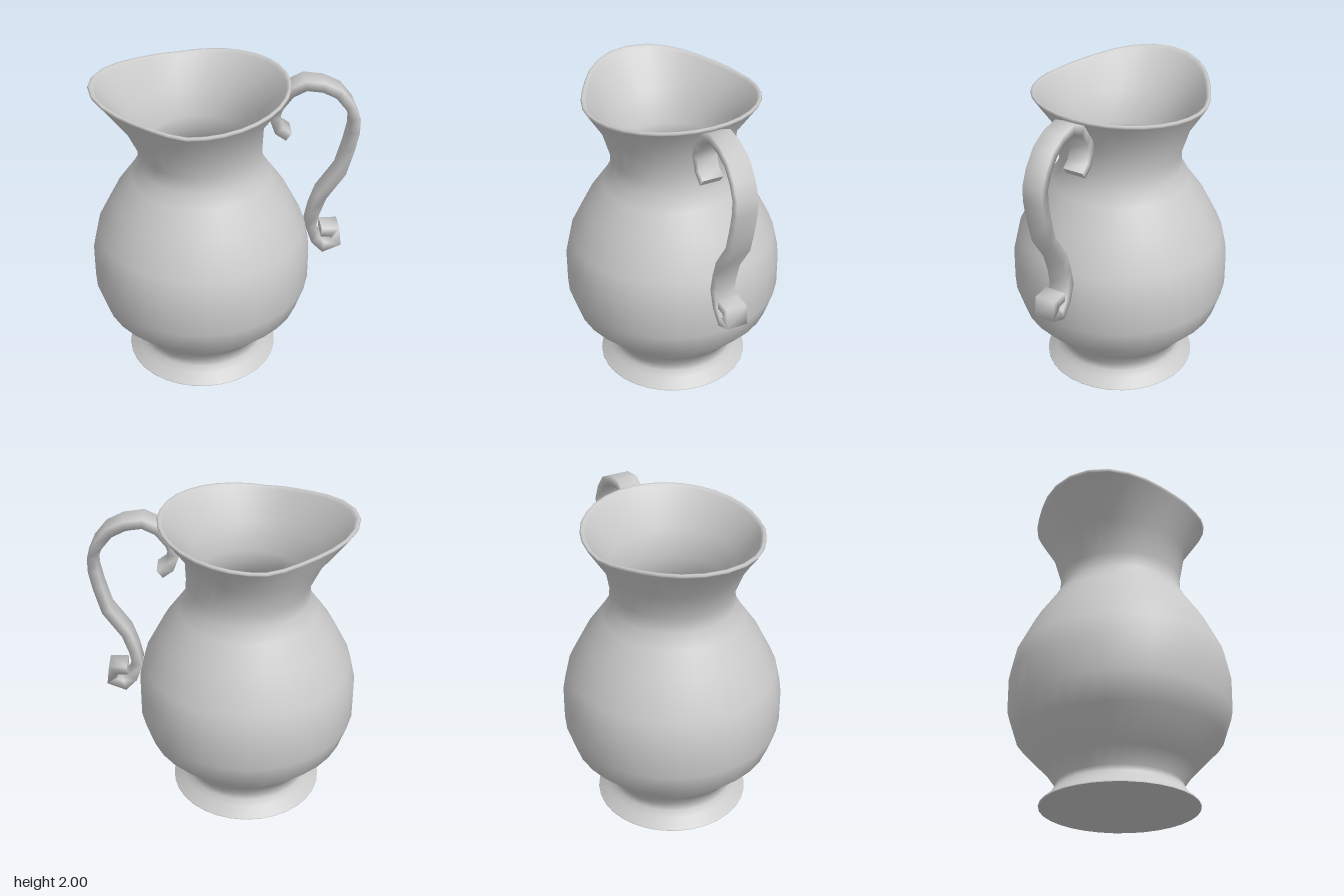
import * as THREE from 'three';

const SIDES = 32;
const AXIS_X = -0.145;
const material = new THREE.MeshStandardMaterial({ color: 0xcccccc, roughness: 0.7 });

// Smooth skin over closed rings (each counter-clockwise about the direction of travel), with flat end caps
function loft(rings) {
  const n = rings[0].length;
  const points = rings.flat();
  const index = [];
  for (let i = 0; i < rings.length - 1; i++) {
    for (let j = 0; j < n; j++) {
      const k = (j + 1) % n;
      const a = i * n + j, b = i * n + k, c = b + n, d = a + n;
      index.push(a, b, c, a, c, d);
    }
  }
  const addCap = (ring, flip) => {
    const centre = ring.reduce((s, p) => s.add(p), new THREE.Vector3()).divideScalar(n);
    const base = points.length;
    points.push(...ring, centre);
    for (let j = 0; j < n; j++) {
      const k = (j + 1) % n;
      index.push(base + n, base + (flip ? k : j), base + (flip ? j : k));
    }
  };
  addCap(rings[0], true);
  addCap(rings[rings.length - 1], false);
  const geometry = new THREE.BufferGeometry().setFromPoints(points);
  geometry.setIndex(index);
  geometry.computeVertexNormals();
  return geometry;
}

// One ring of the jug: spout pushes the -x side out, tilt lifts front and back of the lip
function jugRing([r, y, spout = 0, tilt = 0, shift = 0]) {
  const ring = [];
  for (let j = 0; j < SIDES; j++) {
    const a = (j / SIDES) * Math.PI * 2;
    const t = Math.abs(a - Math.PI);
    const bump = t < Math.PI / 3 ? Math.cos(1.5 * t) ** 2 : 0;
    const rad = r + spout * bump;
    const x = AXIS_X + shift + rad * Math.cos(a);
    const dx = x + 0.25;
    const lift = (dx < 0 ? 0.14 : 0.1) * Math.abs(dx) ** 1.2;
    ring.push(new THREE.Vector3(x, y + tilt * lift, -rad * Math.sin(a)));
  }
  return ring;
}

function createJug() {
  // radius, height, spout, tilt, sideways shift
  const outside = [
    [0.49, 0], [0.49, 0.008], [0.43, 0.06], [0.405, 0.1], [0.39, 0.14], [0.46, 0.24],
    [0.64, 0.43], [0.695, 0.6], [0.695, 0.82], [0.66, 0.98], [0.55, 1.2],
    [0.44, 1.36], [0.39, 1.45], [0.385, 1.55],
    [0.428, 1.72, 0.01, 0.45, -0.035],
  ];
  const lip = [
    [0.545, 1.9, 0.115, 1], [0.552, 1.912, 0.115, 1],
    [0.545, 1.923, 0.113, 1], [0.53, 1.921, 0.11, 1], [0.522, 1.908, 0.108, 1],
  ];
  const inside = [
    [0.398, 1.73, 0.01, 0.45, -0.035],
    [0.355, 1.55], [0.36, 1.45], [0.41, 1.35], [0.52, 1.19], [0.63, 0.97],
    [0.66, 0.82], [0.66, 0.6], [0.61, 0.45], [0.43, 0.26], [0.36, 0.19],
  ];
  return new THREE.Mesh(loft([...outside, ...lip, ...inside].map(jugRing)), material);
}

function createHandle() {
  const path = [
    [0.395, 1.62], [0.335, 1.665], [0.305, 1.75], [0.325, 1.825], [0.395, 1.92],
    [0.49, 1.967], [0.6, 1.95], [0.695, 1.9], [0.765, 1.81], [0.803, 1.72],
    [0.803, 1.63], [0.78, 1.51], [0.735, 1.34], [0.62, 1.167], [0.58, 1.045],
    [0.558, 0.933], [0.593, 0.832], [0.648, 0.772], [0.727, 0.806],
    [0.717, 0.888], [0.627, 0.89],
  ].map(([x, y]) => new THREE.Vector2(x, y));
  const half = 0.03, depth = 0.067;

  // Mitred rectangular section at every bend
  const rings = path.map((p, i) => {
    const before = p.clone().sub(path[Math.max(i - 1, 0)]).normalize();
    const after = path[Math.min(i + 1, path.length - 1)].clone().sub(p).normalize();
    const tangent = before.clone().add(after).normalize();
    const along = i === 0 ? after : before;
    const w = half / Math.max(tangent.dot(along), 0.6);
    return [[1, 1], [-1, 1], [-1, -1], [1, -1]].map(([u, v]) =>
      new THREE.Vector3(p.x - tangent.y * u * w, p.y + tangent.x * u * w, v * depth));
  });
  return new THREE.Mesh(loft(rings), material);
}

export function createModel() {
  const group = new THREE.Group();
  group.name = 'pitcher';
  const jug = createJug();
  jug.name = 'jugBody';
  const handle = createHandle();
  handle.name = 'scrollHandle';
  group.add(jug, handle);
  return group;
}
